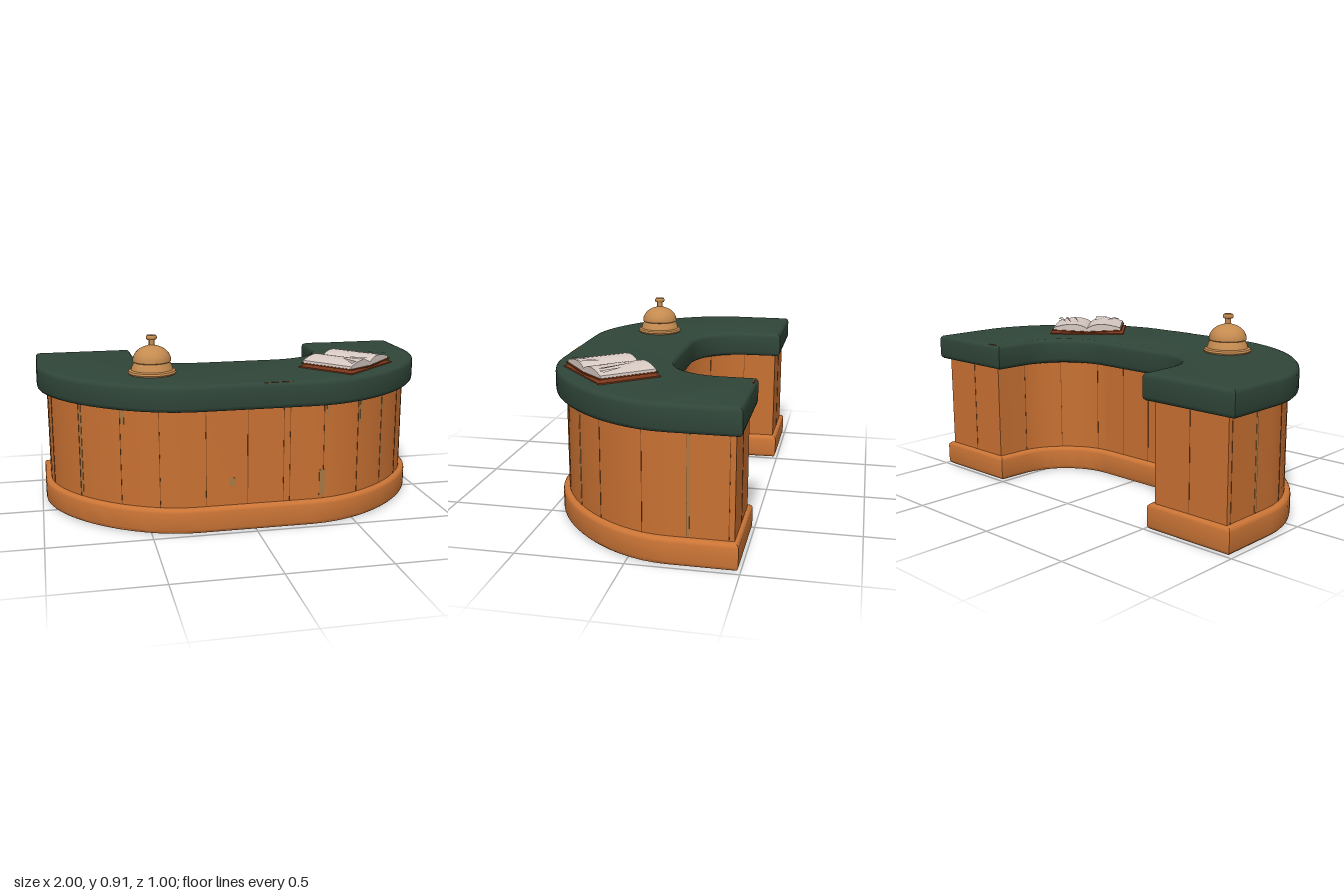
import * as THREE from 'three';
import { toCreasedNormals } from 'three/addons/utils/BufferGeometryUtils.js';

const mat = (name, color, side = THREE.FrontSide) =>
  Object.assign(new THREE.MeshStandardMaterial({ color, side }), { name });

export function createModel() {
  const green = mat('green countertop', 0x304639);
  const wood = mat('plank wood', 0xc97132);
  const trim = mat('base wood', 0xcc7536);
  const seamMat = mat('plank seam', 0x85491d);
  const worn = mat('worn wood', 0xa87a45);
  const brass = mat('brass', 0xc58b50);
  const leather = mat('book leather', 0x80391b);
  const paper = mat('paper', 0xd8cac3, THREE.DoubleSide);
  const shade = mat('page crease', 0xa4958f, THREE.DoubleSide);

  const group = new THREE.Group();
  const add = (parent, name, geo, material, x = 0, y = 0, z = 0, ry = 0) => {
    const mesh = new THREE.Mesh(geo, material);
    mesh.name = name;
    mesh.position.set(x, y, z);
    mesh.rotation.y = ry;
    parent.add(mesh);
    return mesh;
  };

  // U-shaped plan, inset from the countertop edge; shape y is -z
  function plan(d, back) {
    const X = 1 - d, F = -(0.5 - d), B = 0.5 - back;
    const ix = 0.495 + d, iF = 0.06 - d;
    const ox = 0.28, oz = 0.18, k = 0.47;
    const s = new THREE.Shape();
    s.moveTo(-X, B);
    s.lineTo(-X, oz);
    s.bezierCurveTo(-X, oz + (F - oz) * k, -ox - (X - ox) * k, F, -ox, F);
    s.lineTo(ox, F);
    s.bezierCurveTo(ox + (X - ox) * k, F, X, oz + (F - oz) * k, X, oz);
    s.lineTo(X, B);
    s.lineTo(ix, B);
    s.lineTo(ix - 0.005, 0.32);
    s.bezierCurveTo(ix - 0.015, 0.16, 0.36, iF, 0.2, iF);
    s.lineTo(-0.2, iF);
    s.bezierCurveTo(-0.36, iF, -ix + 0.015, 0.16, -ix + 0.005, 0.32);
    s.lineTo(-ix, B);
    s.closePath();
    return s;
  }
  function slab(name, shape, y0, y1, bevel, material) {
    let geo = new THREE.ExtrudeGeometry(shape, {
      depth: y1 - y0 - 2 * bevel, curveSegments: 16, bevelEnabled: bevel > 0,
      bevelSize: bevel, bevelThickness: bevel, bevelOffset: -bevel, bevelSegments: 3,
    });
    geo.rotateX(-Math.PI / 2);
    geo = toCreasedNormals(geo, 0.6);
    add(group, name, geo, material, 0, y0 + bevel, 0);
  }
  const bodyPlan = plan(0.05, 0.03);
  slab('base', plan(0.02, 0.01), 0, 0.125, 0.02, trim);
  slab('plankBody', bodyPlan, 0.12, 0.605, 0, wood);
  slab('countertop', plan(0, 0), 0.597, 0.725, 0.022, green);

  // Plank seams and worn strips, set flush along the body outline
  const seams = new THREE.Group();
  seams.name = 'plankSeams';
  group.add(seams);
  const pts = bodyPlan.getSpacedPoints(900).map(p => new THREE.Vector2(p.x, -p.y));
  function strip(i, width, y0, y1, material, name) {
    const p = pts[i], t = pts[(i + 1) % pts.length].clone().sub(pts[Math.max(i - 1, 0)]);
    add(seams, name, new THREE.BoxGeometry(width, y1 - y0, 0.003), material,
      p.x, (y0 + y1) / 2, p.y, Math.atan2(-t.y, t.x));
  }
  const nearest = cost => pts.reduce((best, p, i) => cost(p) < cost(pts[best]) ? i : best, 0);
  const atFront = x => nearest(p => p.y > 0 ? Math.abs(p.x - x) : 9);
  const atSide = (s, z) => nearest(p => p.x * s > 0.8 ? Math.abs(p.y - z) : 9);
  const seam = i => strip(i, 0.003, 0.125, 0.597, seamMat, 'seam');
  [-0.81, -0.63, -0.455, -0.24, -0.04, 0.14, 0.17, 0.34, 0.53, 0.69, 0.82]
    .forEach(x => seam(atFront(x)));
  for (const s of [-1, 1]) {
    [-0.065, -0.26, -0.445].forEach(z => seam(atSide(s, z)));
    strip(atSide(s, -0.268), 0.012, 0.13, 0.59, worn, 'wornStrip');
    // Back ends and inner curve
    seam(nearest(p => p.y < -0.46 ? Math.abs(p.x - s * 0.74) : 9));
    for (const [x, z] of [[0.54, -0.3], [0.45, -0.12], [0.27, -0.02], [0.09, -0.01]])
      seam(nearest(p => Math.hypot(p.x - s * x, p.y - z)));
  }
  for (const [x, w, a, b] of [[-0.805, 0.012, 0.13, 0.59], [-0.615, 0.02, 0.52, 0.59],
    [-0.11, 0.035, 0.22, 0.26], [0.33, 0.03, 0.14, 0.27], [0.355, 0.015, 0.53, 0.59],
    [0.545, 0.014, 0.48, 0.59], [0.695, 0.01, 0.13, 0.59]])
    strip(atFront(x), w, a, b, worn, 'wornPatch');

  // Service bell
  const bell = new THREE.Group();
  bell.name = 'bell';
  bell.position.set(-0.45, 0.724, 0.17);
  group.add(bell);
  const lathe = (name, profile) => add(bell, name, toCreasedNormals(
    new THREE.LatheGeometry(profile.map(([r, y]) => new THREE.Vector2(r, y)), 28), 0.7), brass);
  lathe('bellFoot', [[0, 0], [0.113, 0], [0.117, 0.008], [0.113, 0.017], [0.102, 0.022],
    [0.096, 0.04], [0.085, 0.06], [0, 0.062]]);
  const dome = [[0, 0.058], [0.088, 0.058], [0.093, 0.062]];
  for (let i = 1; i <= 10; i++) {
    const a = i / 10 * Math.PI / 2;
    dome.push([i === 10 ? 0 : 0.093 * Math.cos(a), 0.064 + 0.074 * Math.sin(a)]);
  }
  lathe('bellDome', dome);
  lathe('bellButton', [[0.024, 0.132], [0.015, 0.141], [0.015, 0.164], [0.023, 0.166],
    [0.026, 0.172], [0.026, 0.18], [0.021, 0.187], [0, 0.188]]);

  // Open book, spine along its local z
  const book = new THREE.Group();
  book.name = 'openBook';
  book.position.set(0.53, 0.725, 0.175);
  book.rotation.y = 0.71;
  group.add(book);
  add(book, 'cover', new THREE.BoxGeometry(0.4, 0.006, 0.305), leather, 0, 0.004, 0);
  for (const s of [-1, 1]) {
    const board = add(book, 'endpaper', new THREE.BoxGeometry(0.185, 0.006, 0.29), leather, s * 0.098, 0.017, 0);
    board.rotation.z = s * 0.05;
    const block = new THREE.Shape();
    block.moveTo(0, 0.014);
    block.lineTo(s * 0.185, 0.024);
    block.lineTo(s * 0.183, 0.036);
    block.quadraticCurveTo(s * 0.06, 0.075, 0, 0.031);
    block.closePath();
    const geo = new THREE.ExtrudeGeometry(block, { depth: 0.275, bevelEnabled: false, curveSegments: 8 });
    add(book, 'pages', toCreasedNormals(geo, 0.6), paper, 0, 0, -0.1375);
  }

  // Lifted, creased page corners, each a thin triangle
  function fold(name, corners, material) {
    const geo = new THREE.BufferGeometry();
    geo.setAttribute('position', new THREE.Float32BufferAttribute(corners.flat(), 3));
    geo.computeVertexNormals();
    add(book, name, geo, material);
  }
  fold('liftedPage', [[0.05, 0.054, -0.07], [0.085, 0.061, 0.11], [0.094, 0.06, 0.1]], shade);
  fold('liftedPage', [[0.09, 0.056, -0.09], [0.13, 0.058, 0.12], [0.142, 0.056, 0.11]], shade);
  fold('curledPage', [[0.13, 0.05, 0], [0.168, 0.056, 0.137], [0.186, 0.05, 0.12]], paper);
  fold('creasedPage', [[-0.03, 0.052, 0.03], [-0.1, 0.06, 0.137], [-0.03, 0.058, 0.14]], paper);
  fold('creasedPage', [[-0.1, 0.056, 0.04], [-0.165, 0.047, 0.13], [-0.135, 0.056, 0.137]], shade);

  // Scuffs on the countertop edge
  for (const [x, z, w] of [[0.1, 0.484, 0.14], [0.56, -0.486, 0.06]])
    add(group, 'edgeScuff', new THREE.BoxGeometry(w, 0.003, 0.008), leather, x, 0.7225, z);
  return group;
}
